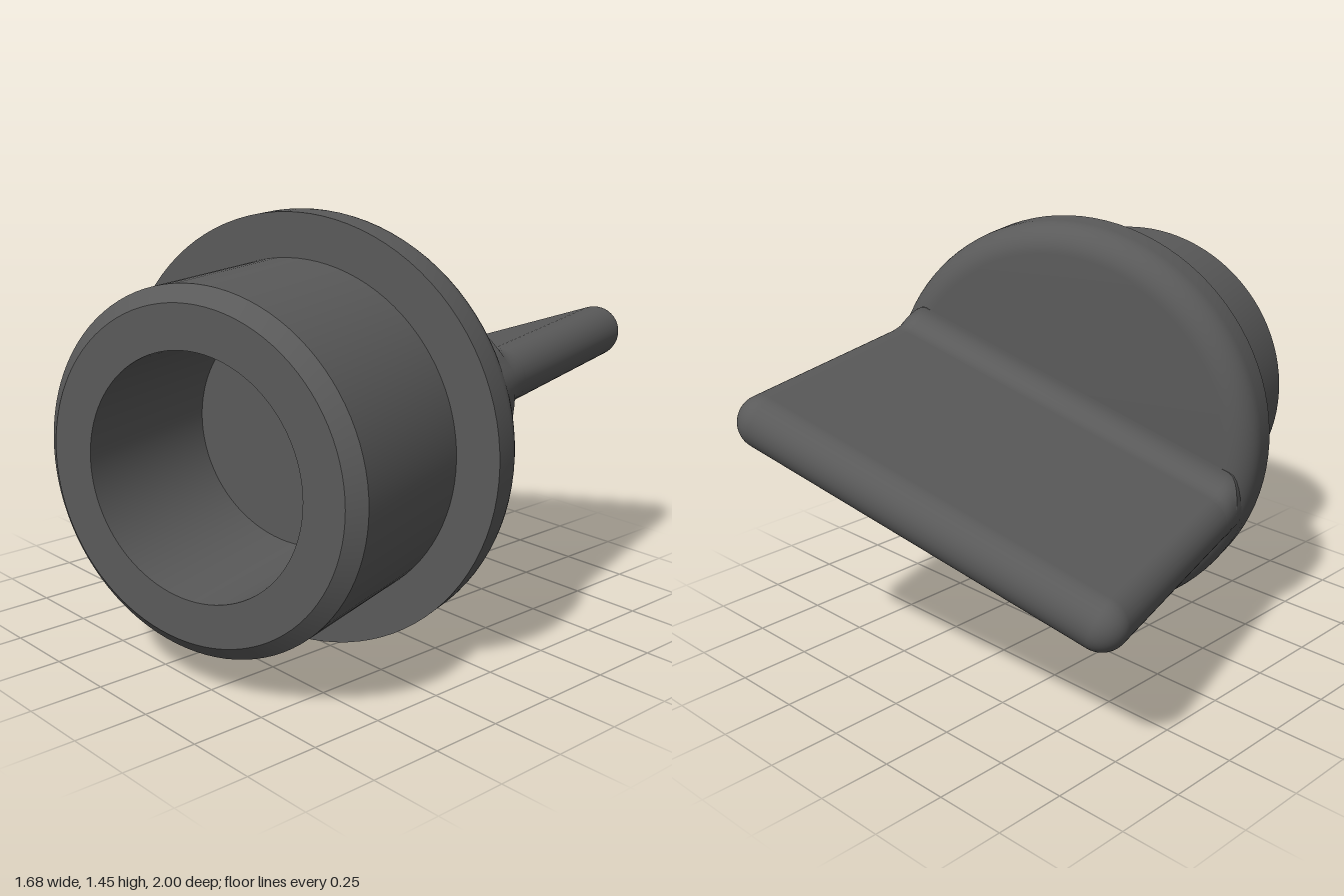
import * as THREE from 'three';
import { toCreasedNormals } from 'three/addons/utils/BufferGeometryUtils.js';
import { RoundedBoxGeometry } from 'three/addons/geometries/RoundedBoxGeometry.js';

const material = new THREE.MeshStandardMaterial({ color: 0x5a5a5a });

const FLANGE_BACK = 0.12;    // rear face of the flange
const BLADE_HALF_WIDTH = 0.72;
const BLADE_RADIUS = 0.09;   // half thickness, fully rounded edges

function part(name, geometry) {
  const mesh = new THREE.Mesh(geometry, material);
  mesh.name = name;
  return mesh;
}

// Hollow barrel and round-edged flange as one turned profile along z
function plugBody() {
  const R = 0.727, round = 0.1;
  const points = [[0, FLANGE_BACK]];
  for (let i = 0; i <= 10; i++) {
    const a = (i / 10) * Math.PI / 2;
    points.push([R - round + round * Math.sin(a), FLANGE_BACK + round - round * Math.cos(a)]);
  }
  points.push(
    [R, 0.307], [0.58, 0.307],       // flange front
    [0.58, 0.845], [0.53, 0.89],     // barrel and chamfer
    [0.39, 0.89], [0.39, 0.312], [0, 0.312] // blind bore
  );
  const geometry = new THREE.LatheGeometry(points.map(([r, z]) => new THREE.Vector2(r, z)), 96);
  geometry.rotateX(Math.PI / 2);
  return toCreasedNormals(geometry, 0.5);
}

// Concave blend from blade to flange: rounded-end sections that widen toward
// the flange on the flat faces and fade out around the blade's ends
function bladeFillet() {
  const r = 0.08, steps = 12, arc = 16;
  const t = BLADE_RADIUS + 0.001, core = BLADE_HALF_WIDTH - BLADE_RADIUS;
  const stations = [];
  for (let i = 0; i <= steps; i++) {
    const a = (i / steps) * Math.PI / 2;
    stations.push([r - r * Math.cos(a), FLANGE_BACK - r + r * Math.sin(a)]);
  }
  stations.push([r, FLANGE_BACK + 0.1]);

  const positions = [], index = [], ring = 2 * (arc + 1);
  stations.forEach(([spread, z], k) => {
    for (let j = 0; j < ring; j++) {
      const side = j <= arc ? 1 : -1;
      const a = ((j % (arc + 1)) / arc - 0.5) * Math.PI;
      const nx = side * Math.cos(a), ny = side * Math.sin(a);
      positions.push(side * core + t * nx, (t + spread * ny * ny) * ny, z);
      if (k === 0) continue;
      const next = (j + 1) % ring, low = (k - 1) * ring, high = k * ring;
      index.push(low + j, low + next, high + j, low + next, high + next, high + j);
    }
  });
  const geometry = new THREE.BufferGeometry();
  geometry.setAttribute('position', new THREE.Float32BufferAttribute(positions, 3));
  geometry.setIndex(index);
  return toCreasedNormals(geometry, 0.5);
}

export function createModel() {
  const root = new THREE.Group();
  root.name = 'plug';

  const plug = new THREE.Group();
  plug.name = 'turnedPlug';
  plug.rotation.y = 0.295;
  root.add(plug);

  const assembly = new THREE.Group();
  assembly.name = 'plugAssembly';
  assembly.position.set(0.043, 0.728, 0);
  assembly.add(part('flangedBarrel', plugBody()));
  plug.add(assembly);

  // Flat grip, rolled about the plug axis
  const grip = new THREE.Group();
  grip.name = 'grip';
  grip.rotation.z = 0.345;
  const front = 0.29, rear = -0.852;
  const blade = part('gripBlade', new RoundedBoxGeometry(
    2 * BLADE_HALF_WIDTH, 2 * BLADE_RADIUS, front - rear, 8, BLADE_RADIUS - 0.0005));
  blade.position.z = (front + rear) / 2;
  grip.add(blade, part('gripFillet', bladeFillet()));
  assembly.add(grip);

  return root;
}
